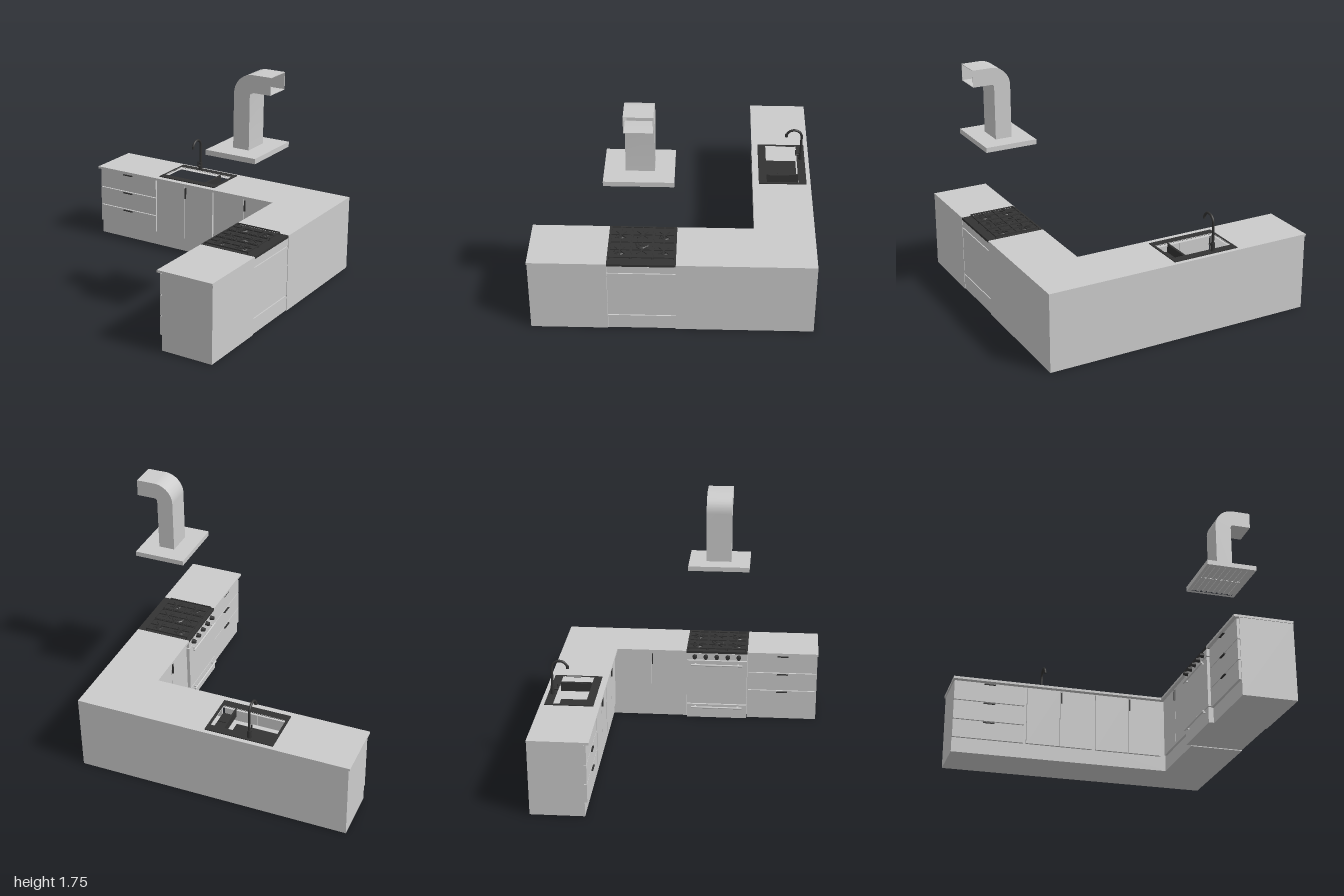
import * as THREE from 'three';
import { toCreasedNormals } from 'three/addons/utils/BufferGeometryUtils.js';

const grey = new THREE.MeshStandardMaterial({ color: 0xcccccc });
const dark = new THREE.MeshStandardMaterial({ color: 0x333333 });

function add(parent, name, geometry, material = grey) {
  const mesh = new THREE.Mesh(geometry, material);
  mesh.name = name;
  parent.add(mesh);
  return mesh;
}

// Box given by its low and high limits on each axis
function box(parent, name, x0, x1, y0, y1, z0, z1, material = grey) {
  const mesh = add(parent, name, new THREE.BoxGeometry(x1 - x0, y1 - y0, z1 - z0), material);
  mesh.position.set((x0 + x1) / 2, (y0 + y1) / 2, (z0 + z1) / 2);
  return mesh;
}

function group(parent, name) {
  const g = new THREE.Group();
  g.name = name;
  parent.add(g);
  return g;
}

// Floor-plan outline of [x, z] points raised from y0 to y1, with rectangular holes [x0, x1, z0, z1]
function slab(parent, name, plan, y0, y1, holes = [], material = grey) {
  const toV = ([x, z]) => new THREE.Vector2(x, -z);
  const shape = new THREE.Shape(plan.map(toV));
  for (const [a, b, c, d] of holes) shape.holes.push(new THREE.Path([[a, c], [b, c], [b, d], [a, d]].map(toV)));
  const geo = new THREE.ExtrudeGeometry(shape, { depth: y1 - y0, bevelEnabled: false });
  geo.rotateX(-Math.PI / 2).translate(0, y0, 0);
  return add(parent, name, geo, material);
}

const rect = (x0, x1, z0, z1) => [[x0, z0], [x1, z0], [x1, z1], [x0, z1]];
const cornerPlan = (left, front, inner) =>
  [[left, -0.98], [0.99, -0.98], [0.99, -0.03], [inner, -0.03], [inner, front], [left, front]];

function drawers(parent, u0, u1) {
  const mid = (u0 + u1) / 2;
  for (const [y0, y1] of [[0.108, 0.241], [0.247, 0.388], [0.394, 0.537]]) {
    box(parent, 'drawerFront', u0, u1, y0, y1, 0, 0.018);
    box(parent, 'drawerHandle', mid - 0.042, mid + 0.042, y1 - 0.012, y1 - 0.005, 0.018, 0.03, dark);
  }
}

function doorPair(parent, u0, u1) {
  const mid = (u0 + u1) / 2;
  box(parent, 'door', u0, mid - 0.002, 0.108, 0.537, 0, 0.018);
  box(parent, 'door', mid + 0.002, u1, 0.108, 0.537, 0, 0.018);
  box(parent, 'doorHandle', mid + 0.006, mid + 0.013, 0.44, 0.525, 0.018, 0.03, dark);
}

function buildCabinets(root) {
  const g = group(root, 'cabinets');
  const sinkHole = [-0.437, 0.032, -0.897, -0.658];
  slab(g, 'cornerBase', cornerPlan(-0.99, -0.6, 0.61), 0, 0.41);
  slab(g, 'cornerUpperBody', cornerPlan(-0.99, -0.6, 0.61), 0.41, 0.545, [sinkHole]);
  slab(g, 'cornerCountertop', cornerPlan(-1, -0.56, 0.572), 0.545, 0.562, [sinkHole]);
  box(g, 'endBody', 0.61, 0.99, 0, 0.545, 0.437, 0.97);
  box(g, 'endCountertop', 0.572, 0.99, 0.545, 0.562, 0.437, 0.975);

  const back = group(g, 'backFronts');
  back.position.z = -0.6;
  drawers(back, -0.99, -0.47);
  doorPair(back, -0.45, 0.045);
  doorPair(back, 0.068, 0.57);

  // Side run faces -x, so its local x runs along world z
  const side = group(g, 'sideFronts');
  side.position.x = 0.61;
  side.rotation.y = -Math.PI / 2;
  drawers(side, 0.445, 0.965);
  doorPair(side, -0.565, -0.04);
}

function buildSink(root) {
  const g = group(root, 'sink');
  const bowl = [-0.432, -0.073, -0.892, -0.663], small = [-0.063, 0.027, -0.892, -0.663];
  slab(g, 'sinkRim', rect(-0.45, 0.045, -0.95, -0.605), 0.56, 0.568, [bowl, small], dark);
  for (const [hole, floor, name] of [[bowl, 0.43, 'mainBowl'], [small, 0.5, 'smallBowl']]) {
    const [a, b, c, d] = hole;
    slab(g, name + 'Walls', rect(a - 0.004, b + 0.004, c - 0.004, d + 0.004), floor, 0.562, [hole], dark);
    box(g, name + 'Floor', a - 0.004, b + 0.004, floor - 0.006, floor, c - 0.004, d + 0.004, dark);
  }
  add(g, 'drain', new THREE.CylinderGeometry(0.026, 0.026, 0.006, 24), dark).position.set(-0.27, 0.432, -0.78);
  box(g, 'smallBowlBar', -0.063, 0.027, 0.5, 0.506, -0.762, -0.756, dark);

  // Gooseneck tap
  const path = new THREE.CurvePath();
  const arc = [];
  for (let i = 0; i <= 12; i++) {
    const t = Math.PI * (1 - i / 12 * 0.95);
    arc.push(new THREE.Vector3(-0.27, 0.765 + 0.056 * Math.sin(t), -0.863 + 0.056 * Math.cos(t)));
  }
  path.add(new THREE.LineCurve3(new THREE.Vector3(-0.27, 0.565, -0.919), arc[0]));
  path.add(new THREE.CatmullRomCurve3(arc));
  add(g, 'tapSpout', new THREE.TubeGeometry(path, 64, 0.009, 12), dark);
  add(g, 'tapBase', new THREE.CylinderGeometry(0.014, 0.016, 0.06, 20), dark).position.set(-0.27, 0.597, -0.919);
  const tip = add(g, 'tapNozzle', new THREE.CylinderGeometry(0.011, 0.011, 0.02, 16), dark);
  tip.position.set(-0.27, 0.775, -0.807);
  const valve = add(g, 'tapValve', new THREE.CylinderGeometry(0.008, 0.008, 0.035, 12), dark);
  valve.rotation.x = Math.PI / 2;
  valve.position.set(-0.27, 0.605, -0.897);
  box(g, 'tapLever', -0.274, -0.266, 0.6, 0.645, -0.884, -0.878, dark);
}

function buildStove(root) {
  const g = group(root, 'stove');
  const z0 = -0.027, z1 = 0.434;
  box(g, 'stoveCore', 0.6, 0.98, 0.005, 0.545, z0 + 0.004, z1 - 0.004);
  box(g, 'bottomDrawer', 0.575, 0.988, 0.005, 0.115, z0, z1);
  box(g, 'ovenDoor', 0.575, 0.988, 0.123, 0.483, z0, z1);
  box(g, 'controlPanel', 0.575, 0.988, 0.491, 0.544, z0, z1);
  box(g, 'cooktop', 0.572, 0.99, 0.546, 0.563, z0 - 0.003, z1 + 0.003, dark);

  // Bar handles on oven door and drawer
  for (const y of [0.455, 0.098]) {
    const bar = add(g, 'barHandle', new THREE.CylinderGeometry(0.007, 0.007, 0.39, 16));
    bar.rotation.x = Math.PI / 2;
    bar.position.set(0.552, y, 0.2035);
    for (const z of [0.04, 0.367]) box(g, 'handlePost', 0.552, 0.576, y - 0.005, y + 0.005, z - 0.006, z + 0.006);
  }
  for (let i = 0; i < 5; i++) {
    const knob = add(g, 'knob', new THREE.CylinderGeometry(0.014, 0.018, 0.028, 20), dark);
    knob.rotation.z = Math.PI / 2;
    knob.position.set(0.561, 0.517, 0.035 + i * 0.084);
  }

  // Burners
  for (const [x, z, r] of [[0.68, 0.05, 0.032], [0.85, 0.05, 0.026], [0.765, 0.2035, 0.042], [0.68, 0.357, 0.026], [0.85, 0.357, 0.032]]) {
    add(g, 'burnerRing', new THREE.CylinderGeometry(r, r * 1.15, 0.006, 24), dark).position.set(x, 0.566, z);
    add(g, 'burnerCap', new THREE.CylinderGeometry(r * 0.7, r * 0.7, 0.004, 24), dark).position.set(x, 0.571, z);
  }

  // Three cast grates, each a frame with cross bars and feet
  const xa = 0.595, xb = 0.93, t = 0.007;
  for (let i = 0; i < 3; i++) {
    const grate = group(g, 'grate');
    const a = -0.018 + i * 0.149, b = a + 0.145, m = (a + b) / 2;
    for (const z of [a, m - t / 2, b - t]) box(grate, 'grateBar', xa, xb, 0.573, 0.581, z, z + t, dark);
    for (let k = 0; k < 5; k++) {
      const x = xa + k * (xb - xa - t) / 4;
      box(grate, 'grateCrossBar', x, x + t, 0.573, 0.581, a, b, dark);
    }
    for (const x of [xa, xb - t]) for (const z of [a, b - t]) box(grate, 'grateFoot', x, x + t, 0.562, 0.573, z, z + t, dark);
    for (const x of [0.68, 0.85]) for (const s of [-1, 1]) {
      const bar = box(grate, 'grateDiagonal', x - 0.05, x + 0.05, 0.573, 0.58, m - t / 2, m + t / 2, dark);
      bar.rotation.y = s * Math.PI / 4;
    }
  }
}

function buildHood(root) {
  const g = group(root, 'hood');
  const x0 = 0.603, x1 = 0.975, z0 = -0.02, z1 = 0.438;
  slab(g, 'canopyRim', rect(x0, x1, z0, z1), 1.2, 1.225, [[x0 + 0.025, x1 - 0.025, z0 + 0.025, z1 - 0.025]]);
  box(g, 'canopyTop', x0, x1, 1.225, 1.235, z0, z1);
  // Filter slats with a middle rib
  for (let i = 0; i < 8; i++) {
    const x = x0 + 0.03 + i * 0.041;
    box(g, 'filterSlat', x, x + 0.026, 1.203, 1.209, z0 + 0.025, z1 - 0.025);
  }
  box(g, 'filterRib', x0 + 0.025, x1 - 0.025, 1.202, 1.21, 0.199, 0.219);

  // Hollow rectangular duct that bends towards +x, open at its end
  const cx = 0.868, cy = 1.607, ro = 0.138, ri = 0.02, w = 0.004;
  const trace = (s, r, reverse) => {
    if (!reverse) {
      s.moveTo(cx - r, 1.235).lineTo(cx - r, cy);
      s.absarc(cx, cy, r, Math.PI, Math.PI / 2, true).lineTo(1, cy + r);
    } else {
      s.lineTo(1, cy + r).lineTo(cx, cy + r);
      s.absarc(cx, cy, r, Math.PI / 2, Math.PI, false).lineTo(cx - r, 1.235);
    }
  };
  const wall = (name, rOut, rIn, z, depth) => {
    const s = new THREE.Shape();
    trace(s, rOut, false);
    trace(s, rIn, true);
    const geo = new THREE.ExtrudeGeometry(s, { depth, bevelEnabled: false, curveSegments: 20 }).translate(0, 0, z);
    add(g, name, toCreasedNormals(geo, 0.6));
  };
  wall('ductOuterWall', ro, ro - w, 0.108, 0.19);
  wall('ductInnerWall', ri + w, ri, 0.108, 0.19);
  wall('ductSide', ro, ri, 0.108, w);
  wall('ductSide', ro, ri, 0.298 - w, w);
}

export function createModel() {
  const root = new THREE.Group();
  root.name = 'kitchen';
  buildCabinets(root);
  buildSink(root);
  buildStove(root);
  buildHood(root);
  return root;
}
